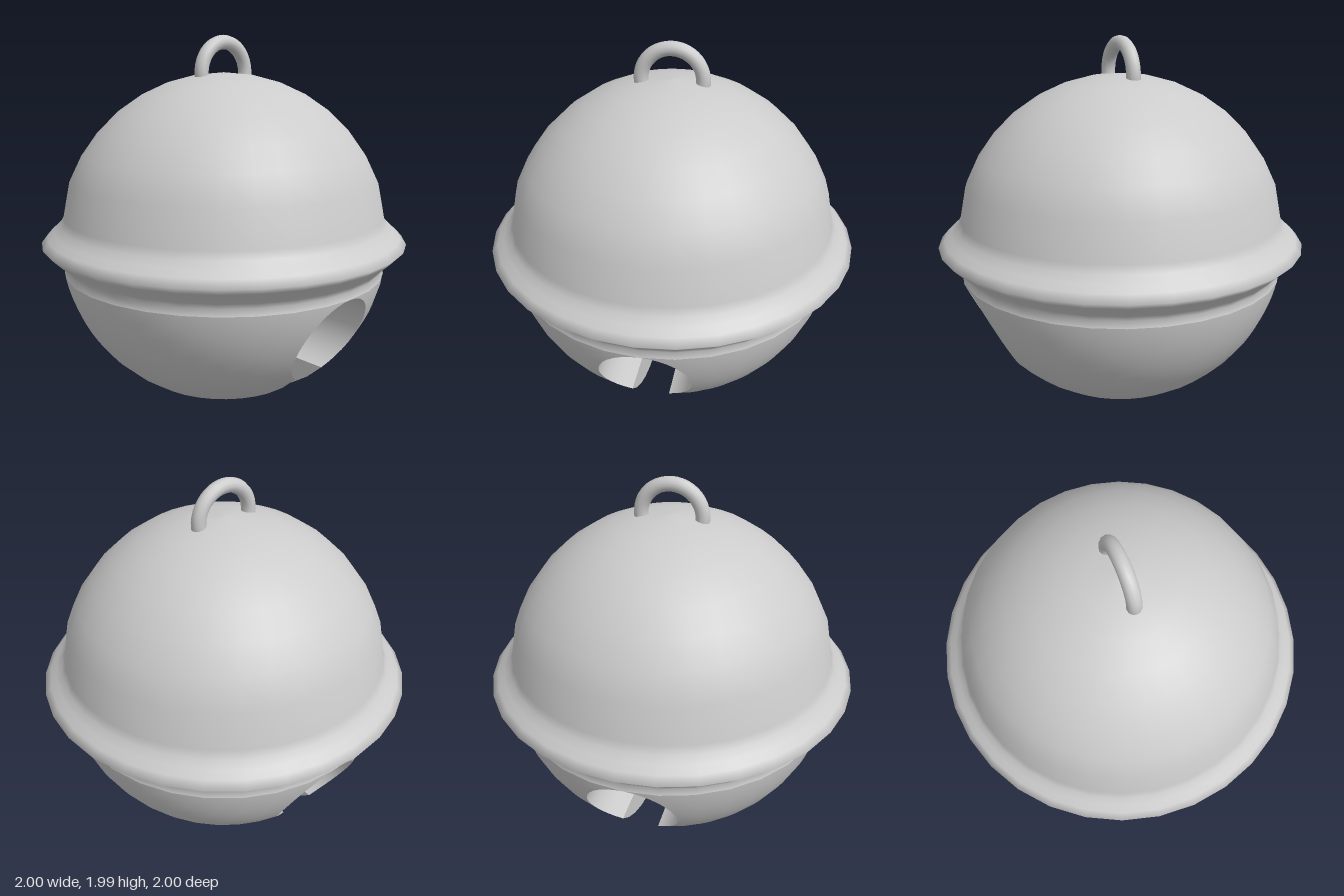
import * as THREE from 'three';

const R = 0.9, CY = 0.905;            // ball radius and centre height
const HOLE = 0.24, HY = 0.5, SLOT = 0.1; // round opening and half width of the slot
const SEG = 32;

const mat = new THREE.MeshStandardMaterial({ color: 0xcccccc });
const radiusAt = (y) => Math.sqrt(Math.max(0, R * R - (y - CY) ** 2));

// Surface through rows of points (rows going up), with a normal rule
function grid(rows, normalAt) {
  const n = rows[0].length, pos = [], nor = [], idx = [];
  rows.forEach((row, i) => row.forEach((p, j) => {
    pos.push(p.x, p.y, p.z);
    nor.push(...normalAt(p).normalize().toArray());
    if (i < rows.length - 1 && j < n - 1) {
      const a = i * n + j, b = a + 1, c = a + n, d = c + 1;
      idx.push(a, c, b, b, c, d);
    }
  }));
  const g = new THREE.BufferGeometry();
  g.setAttribute('position', new THREE.Float32BufferAttribute(pos, 3));
  g.setAttribute('normal', new THREE.Float32BufferAttribute(nor, 3));
  g.setIndex(idx);
  return g;
}

export function createModel() {
  const group = new THREE.Group();
  const add = (name, geo) => {
    const m = new THREE.Mesh(geo, mat);
    m.name = name;
    group.add(m);
    return m;
  };

  // Half outline of the keyhole: [half width, height], bottom to top
  const slotPts = [], holePts = [];
  const joint = Math.asin(SLOT / HOLE), yJoint = HY - HOLE * Math.cos(joint);
  const t0 = Math.asin(SLOT / R), t1 = Math.acos((CY - yJoint) / R);
  for (let i = 0; i <= 5; i++) {
    slotPts.push([SLOT, CY - R * Math.cos(t0 + (t1 - t0) * i / 5)]);
  }
  for (let i = 0; i <= 14; i++) {
    const a = joint + (Math.PI - joint) * i / 14;
    holePts.push([HOLE * Math.sin(a), HY - HOLE * Math.cos(a)]);
  }

  // Lower shell: one half on each side of the keyhole cut
  const shellRows = [...slotPts, ...holePts.slice(1)].map(([w, y]) => {
    const r = radiusAt(y), a0 = Math.asin(Math.min(1, w / r));
    return Array.from({ length: SEG / 2 + 1 }, (_, j) => {
      const a = a0 + (Math.PI - 2 * a0) * j / (SEG / 2);
      return new THREE.Vector3(r * Math.cos(a), y, r * Math.sin(a));
    });
  });
  const shell = grid(shellRows, (p) => new THREE.Vector3(p.x, p.y - CY, p.z));

  // Inner walls of the cut, running straight through from side to side
  const wallRows = (pts) => pts.map(([w, y]) => {
    const x = Math.sqrt(Math.max(0, radiusAt(y) ** 2 - w * w));
    return [new THREE.Vector3(-x, y, w), new THREE.Vector3(x, y, w)];
  });
  const slotWall = grid(wallRows(slotPts), () => new THREE.Vector3(0, 0, -1));
  const holeWall = grid(wallRows(holePts), (p) => new THREE.Vector3(0, HY - p.y, -p.z));

  for (const [side, turn] of [['front', 0], ['back', Math.PI]]) {
    add(side + 'LowerShell', shell).rotation.y = turn;
    add(side + 'SlotWall', slotWall).rotation.y = turn;
    add(side + 'HoleWall', holeWall).rotation.y = turn;
  }

  // Upper shell with the flared rim around the middle
  const yTop = HY + HOLE;
  const profile = [
    [radiusAt(yTop), yTop], [0.875, 0.775], [0.895, 0.805], [0.93, 0.84], [0.965, 0.872],
    [0.998, 0.905], [0.965, 0.942], [0.93, 0.972], [0.898, 1.005], [0.877, 1.045],
  ].map(([x, y]) => new THREE.Vector2(x, y));
  for (let i = 1; i <= 8; i++) {
    const a = 0.2 + (Math.PI / 2 - 0.2) * i / 8;
    profile.push(new THREE.Vector2(i === 8 ? 0 : R * Math.cos(a), CY + R * Math.sin(a)));
  }
  add('upperShellAndRim', new THREE.LatheGeometry(profile, SEG));

  // Hanging loop, its feet sunk into the top
  const loopGeo = new THREE.TorusGeometry(0.16, 0.038, 12, 24, Math.PI + 0.4);
  loopGeo.rotateZ(-0.2);
  loopGeo.rotateY(Math.PI / 2);
  add('hangingLoop', loopGeo).position.y = 1.802;

  return group;
}
